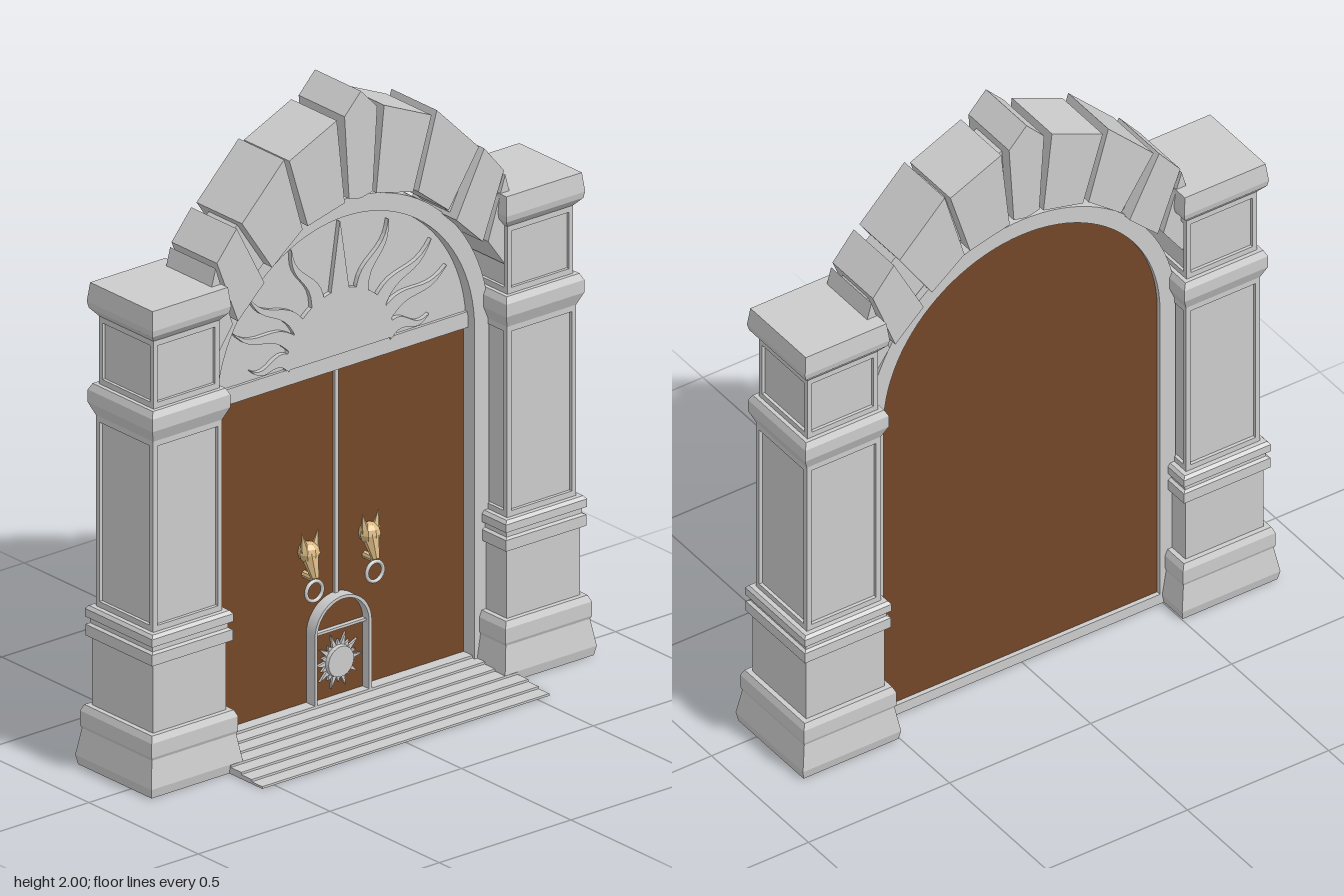
import * as THREE from 'three';

const mat = (color) => new THREE.MeshStandardMaterial({ color, flatShading: true });
const stone = mat(0xcccccc), wood = mat(0x734728), brass = mat(0xdcbb84);
const smoothStone = new THREE.MeshStandardMaterial({ color: 0xcccccc });

function add(parent, name, geometry, material = stone, x = 0, y = 0, z = 0) {
  const mesh = new THREE.Mesh(geometry, material);
  mesh.name = name;
  mesh.position.set(x, y, z);
  parent.add(mesh);
  return mesh;
}

const poly = (pts) => new THREE.Shape(pts.map(([x, y]) => new THREE.Vector2(x, y)));

// Plate cut from a shape, filling z0 to z1
function plate(shape, z0, z1) {
  const g = new THREE.ExtrudeGeometry(shape, { depth: z1 - z0, bevelEnabled: false, curveSegments: 24 });
  return g.translate(0, 0, z0);
}

function box(x0, x1, y0, y1, z0, z1) {
  return new THREE.BoxGeometry(x1 - x0, y1 - y0, z1 - z0)
    .translate((x0 + x1) / 2, (y0 + y1) / 2, (z0 + z1) / 2);
}

// Upright outline with a round top
function archPath(Type, r, yBase, ySpring) {
  const p = new Type();
  p.moveTo(-r, yBase);
  p.lineTo(r, yBase);
  p.lineTo(r, ySpring);
  p.absarc(0, ySpring, r, 0, Math.PI, false);
  p.lineTo(-r, yBase);
  return p;
}

function archFrame(rOut, rIn, y0, y0In, ySpring) {
  const s = archPath(THREE.Shape, rOut, y0, ySpring);
  s.holes.push(archPath(THREE.Path, rIn, y0In, ySpring));
  return s;
}

// Square pillar: stepped profile plus raised borders round the panels
function makePillar() {
  const g = new THREE.Group();
  g.name = 'pillar';
  const profile = [
    [0, 0], [0.168, 0], [0.174, 0.03], [0.16, 0.115], [0.164, 0.125], [0.164, 0.17], [0.155, 0.19],
    [0.139, 0.19], [0.139, 0.405], [0.153, 0.41], [0.153, 0.445], [0.143, 0.45], [0.143, 0.465],
    [0.154, 0.47], [0.154, 0.495], [0.146, 0.505], [0.12, 0.505], [0.12, 1.11], [0.131, 1.11],
    [0.148, 1.15], [0.148, 1.19], [0.138, 1.21], [0.115, 1.21], [0.115, 1.425], [0.125, 1.425],
    [0.146, 1.45], [0.15, 1.47], [0.143, 1.53], [0, 1.53],
  ];
  const pts = profile.map(([h, y]) => new THREE.Vector2(h * Math.SQRT2, y));
  add(g, 'pillarBody', new THREE.LatheGeometry(pts, 4, Math.PI / 4));
  for (const [half, core, y0, y1] of [[0.131, 0.12, 0.505, 1.11], [0.125, 0.115, 1.21, 1.425]]) {
    const s = poly([[-half, y0], [half, y0], [half, y1], [-half, y1]]);
    const w = half - 0.016, e = 0.018;
    s.holes.push(new THREE.Path([[-w, y0 + e], [-w, y1 - e], [w, y1 - e], [w, y0 + e]]
      .map(([x, y]) => new THREE.Vector2(x, y))));
    for (let i = 0; i < 4; i++) {
      add(g, 'panelBorder', plate(s, core - 0.004, half)).rotation.y = i * Math.PI / 2;
    }
  }
  return g;
}

// Wavy tapering ray running outward from the origin at an angle
function rayShape(angle, r0, r1, width, wave) {
  const left = [], right = [], n = 10;
  for (let i = 0; i <= n; i++) {
    const t = i / n, r = r0 + (r1 - r0) * t;
    const off = wave * Math.sin(t * Math.PI * 2), w = width * (1 - t) + 0.0008;
    const at = (o) => [r * Math.cos(angle) - o * Math.sin(angle), r * Math.sin(angle) + o * Math.cos(angle)];
    right.push(at(off - w));
    left.unshift(at(off + w));
  }
  return poly([...right, ...left]);
}

// Animal head with a knocker ring
function makeKnocker() {
  const g = new THREE.Group();
  g.name = 'doorKnocker';
  add(g, 'head', new THREE.SphereGeometry(0.034, 8, 6), brass, 0, 0.535, -0.06).scale.set(1, 1, 1);
  const snout = add(g, 'snout', new THREE.CylinderGeometry(0.012, 0.029, 0.075, 7), brass, 0, 0.497, -0.043);
  snout.rotation.x = Math.PI - 0.35;
  for (const s of [-1, 1]) {
    const ear = add(g, 'ear', new THREE.ConeGeometry(0.015, 0.065, 5), brass, s * 0.025, 0.575, -0.055);
    ear.rotation.z = -s * 0.2;
  }
  add(g, 'mount', new THREE.CylinderGeometry(0.012, 0.012, 0.04, 8), brass, 0, 0.46, -0.06).rotation.x = Math.PI / 2;
  add(g, 'ring', new THREE.TorusGeometry(0.031, 0.006, 8, 24), smoothStone, 0, 0.42, -0.035);
  return g;
}

export function createModel() {
  const model = new THREE.Group();
  model.name = 'archedGateway';

  // Pillars
  for (const s of [-1, 1]) {
    const p = makePillar();
    p.position.set(s * 0.672, 0, -0.074);
    model.add(p);
  }

  // Arch stones, mirrored about the keystone
  const arch = new THREE.Group();
  arch.name = 'stoneArch';
  model.add(arch);
  const stones = [
    [[0.06, 1.66], [0.2, 1.625], [0.27, 1.85], [0.09, 1.93]],
    [[0.22, 1.62], [0.335, 1.53], [0.45, 1.7], [0.29, 1.86]],
    [[0.365, 1.49], [0.465, 1.395], [0.545, 1.6], [0.47, 1.69]],
    [[0.485, 1.39], [0.55, 1.3], [0.565, 1.3], [0.565, 1.53], [0.55, 1.585]],
  ];
  const backing = [[0, 1.685], [0.05, 1.68], [0.21, 1.64], [0.35, 1.52], [0.475, 1.41], [0.555, 1.32],
    [0.555, 1.55], [0.46, 1.66], [0.28, 1.82], [0.08, 1.9], [0, 1.93]];
  for (const s of [-1, 1]) {
    const mirror = (pts) => poly(pts.map(([x, y]) => [s * x, y]));
    for (const pts of stones) add(arch, 'archStone', plate(mirror(pts), -0.17, 0.038));
    add(arch, 'archBacking', plate(mirror(backing), -0.13, 0));
  }
  add(arch, 'keystone', plate(poly([[-0.045, 1.67], [0, 1.66], [0.045, 1.67], [0.062, 1.935], [0, 2], [-0.062, 1.935]]), -0.17, 0.04));

  // Door frame, lintel and wooden leaves
  add(model, 'doorFrame', plate(archFrame(0.545, 0.49, 0, 0.035, 1.09), -0.145, -0.03));
  add(model, 'doorBacking', plate(archPath(THREE.Shape, 0.495, 0.03, 1.09), -0.13, -0.1), wood);
  for (const s of [-1, 1]) {
    const a = s * 0.004, b = s * 0.492;
    add(model, 'doorLeaf', box(Math.min(a, b), Math.max(a, b), 0.04, 1.09, -0.11, -0.08), wood);
  }
  add(model, 'doorSeam', box(-0.007, 0.007, 0.37, 1.09, -0.1, -0.07));
  add(model, 'lintel', box(-0.492, 0.492, 1.085, 1.135, -0.11, -0.06));

  // Half-round panel with a rising sun
  const half = new THREE.Shape();
  half.absarc(0, 1.09, 0.492, 0.08, Math.PI - 0.08, false);
  add(model, 'sunPanel', plate(half, -0.11, -0.07));
  const sun = new THREE.Group();
  sun.name = 'sunRelief';
  sun.position.set(0, 1.135, 0);
  model.add(sun);
  const disc = new THREE.Shape();
  disc.absarc(0, 0, 0.205, 0, Math.PI, false);
  add(sun, 'sunDisc', plate(disc, -0.075, -0.055));
  add(sun, 'sunRay', plate(rayShape(Math.PI / 2, 0.19, 0.42, 0.035, 0), -0.075, -0.055));
  for (const [deg, r] of [[64, 0.42], [38, 0.44], [23, 0.44], [6, 0.34]]) {
    for (const s of [-1, 1]) {
      const a = s > 0 ? deg : 180 - deg;
      add(sun, 'sunRay', plate(rayShape(a * Math.PI / 180, 0.19, r, 0.026, s * 0.014), -0.075, -0.055));
    }
  }

  // Small hatch with a sun emblem
  const hatch = new THREE.Group();
  hatch.name = 'hatch';
  model.add(hatch);
  add(hatch, 'hatchFrame', plate(archFrame(0.108, 0.098, 0.04, 0.05, 0.265), -0.085, -0.04));
  add(hatch, 'hatchPanel', plate(archPath(THREE.Shape, 0.1, 0.045, 0.265), -0.085, -0.07), wood);
  add(hatch, 'hatchBar', box(-0.1, 0.1, 0.262, 0.27, -0.075, -0.055));
  const emblem = [];
  for (let i = 0; i < 40; i++) {
    const a = i / 40 * Math.PI * 2, r = i % 2 ? 0.05 : (i % 4 ? 0.068 : 0.088);
    emblem.push([r * Math.cos(a), 0.16 + r * Math.sin(a)]);
  }
  add(hatch, 'emblemRays', plate(poly(emblem), -0.075, -0.062));
  add(hatch, 'emblemDisc', new THREE.CylinderGeometry(0.048, 0.052, 0.02, 24), stone, 0, 0.16, -0.06).rotation.x = Math.PI / 2;

  // Knockers
  for (const s of [-1, 1]) {
    const k = makeKnocker();
    k.position.x = s * 0.115;
    model.add(k);
  }

  // Shallow steps and threshold
  for (let i = 0; i < 6; i++) {
    add(model, 'step', box(-0.545, 0.545, 0, 0.007 * (i + 1), -0.08, 0.245 - 0.048 * i));
  }
  add(model, 'threshold', box(-0.5, 0.5, 0, 0.05, -0.1, -0.04));
  return model;
}
